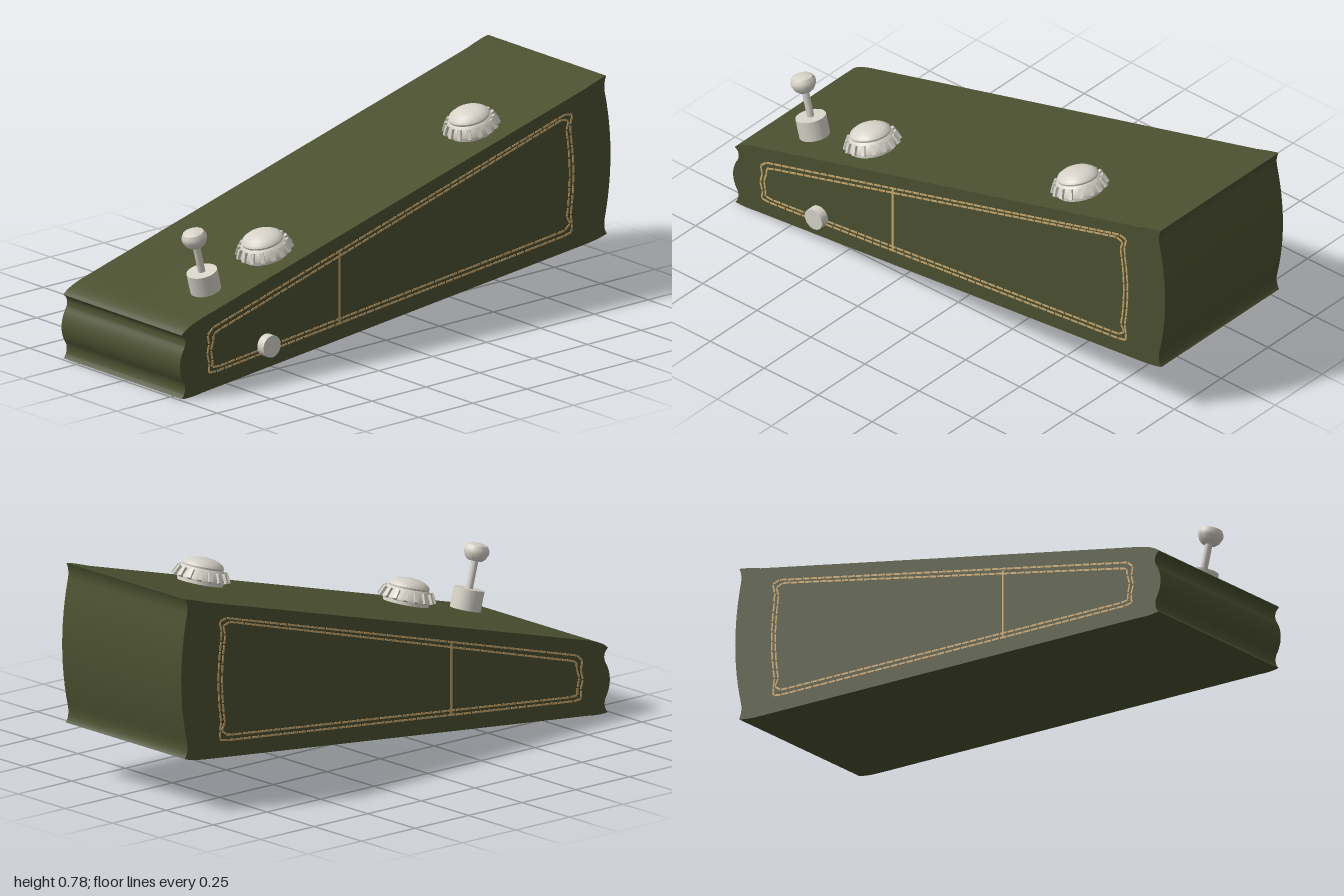
import * as THREE from 'three';
import { mergeGeometries, toCreasedNormals } from 'three/addons/utils/BufferGeometryUtils.js';

const mat = (name, color, side = THREE.FrontSide) => {
  const m = new THREE.MeshStandardMaterial({ color, side });
  m.name = name;
  return m;
};

const FRONT = 0.3, BACK = -0.33;
const SLOPE = 0.259;                        // tilt of the top face
const topY = x => 0.52 + 0.265 * x;

export function createModel() {
  const olive = mat('olive', 0x4b5030);
  const metal = mat('pale metal', 0xd6d2c8);
  const thread = mat('tan thread', 0xc8a66c);
  const model = new THREE.Group();

  const add = (parent, name, geometry, material, x = 0, y = 0, z = 0) => {
    const mesh = new THREE.Mesh(geometry, material);
    mesh.name = name;
    mesh.position.set(x, y, z);
    parent.add(mesh);
    return mesh;
  };
  const lathe = (pts, sides = 32) => toCreasedNormals(
    new THREE.LatheGeometry(pts.map(p => new THREE.Vector2(...p)), sides), 0.6);

  // Wedge body with lipped, bulging ends
  const s = new THREE.Shape();
  s.moveTo(-0.9, 0.008);
  s.lineTo(0.88, 0.183);
  s.quadraticCurveTo(0.95, 0.19, 0.983, 0.202);
  s.quadraticCurveTo(0.966, 0.225, 0.973, 0.26);
  s.quadraticCurveTo(1.027, 0.49, 0.973, 0.725);
  s.quadraticCurveTo(0.967, 0.755, 0.98, 0.782);
  s.quadraticCurveTo(0.95, 0.777, 0.88, topY(0.88));
  s.lineTo(-0.9, topY(-0.9));
  s.quadraticCurveTo(-0.97, 0.262, -0.992, 0.238);
  s.quadraticCurveTo(-0.965, 0.222, -0.978, 0.19);
  s.quadraticCurveTo(-1.022, 0.12, -0.978, 0.055);
  s.quadraticCurveTo(-0.97, 0.025, -0.99, 0.004);
  s.quadraticCurveTo(-0.95, 0, -0.9, 0.008);
  const body = new THREE.ExtrudeGeometry(s, { depth: FRONT - BACK, bevelEnabled: false, curveSegments: 12 });
  add(model, 'body', toCreasedNormals(body, 0.5), olive, 0, 0, BACK);

  // Stitched outline, inset by i from its outer line
  const stitchPath = i => {
    const p = new THREE.Path();
    p.moveTo(-0.83 + i, 0.074 + i);
    p.lineTo(0.79 - i, 0.235 + i);
    p.quadraticCurveTo(0.835 - i, 0.24 + i, 0.828 - i, 0.262 + i);
    p.quadraticCurveTo(0.808 - i, 0.28, 0.815 - i, 0.31);
    p.quadraticCurveTo(0.84 - i, 0.46, 0.813 - i, 0.61);
    p.quadraticCurveTo(0.808 - i, 0.635, 0.822 - i, 0.665 - i);
    p.quadraticCurveTo(0.825 - i, 0.69 - i, 0.78 - i, 0.677 - i);
    p.lineTo(-0.81 + i, 0.247 - i);
    p.quadraticCurveTo(-0.87 + i, 0.235 - i, -0.872 + i, 0.215 - i);
    p.quadraticCurveTo(-0.855 + i, 0.195, -0.868 + i, 0.17);
    p.quadraticCurveTo(-0.88 + i, 0.145, -0.866 + i, 0.12);
    p.quadraticCurveTo(-0.858 + i, 0.1, -0.87 + i, 0.085 + i);
    p.quadraticCurveTo(-0.873 + i, 0.068 + i, -0.83 + i, 0.074 + i);
    return p;
  };
  const dashes = [];
  for (const inset of [0, 0.017]) {
    const pts = stitchPath(inset).getSpacedPoints(110);
    for (let k = 0; k < 110; k++) {
      const a = pts[k], b = pts[k + 1];
      const dash = new THREE.BoxGeometry(a.distanceTo(b) * 0.86, 0.007, 0.004);
      dash.rotateZ(Math.atan2(b.y - a.y, b.x - a.x));
      dash.translate((a.x + b.x) / 2, (a.y + b.y) / 2, 0);
      dashes.push(dash);
    }
  }
  const stitches = mergeGeometries(dashes);
  const seam = new THREE.BoxGeometry(0.008, 0.255, 0.004);
  for (const [side, z] of [['front', FRONT], ['back', BACK]]) {
    add(model, side + 'Stitching', stitches, thread, 0, 0, z);
    add(model, side + 'Seam', seam, thread, -0.26, 0.262, z);
  }

  // Group standing square on the sloping top
  const onTop = (name, x, z) => {
    const g = new THREE.Group();
    g.name = name;
    g.position.set(x, topY(x), z);
    g.rotation.z = SLOPE;
    model.add(g);
    return g;
  };

  // Two ribbed knobs with domed caps
  const skirt = lathe([[0, -0.01], [0.082, -0.01], [0.082, 0.012], [0.094, 0.014], [0.094, 0.022],
    [0.077, 0.052], [0.072, 0.056], [0, 0.056]]);
  const cap = lathe([[0.072, 0.054], [0.074, 0.062], [0.07, 0.07], [0.055, 0.08],
    [0.035, 0.087], [0.015, 0.09], [0, 0.0905]]);
  const ribs = mergeGeometries(Array.from({ length: 16 }, (_, k) => {
    const rib = new THREE.BoxGeometry(0.016, 0.036, 0.014);
    rib.rotateZ(0.45);
    rib.translate(0.09, 0.032, 0);
    return rib.rotateY(k * Math.PI / 8);
  }));
  for (const [name, x] of [['lowerKnob', -0.475], ['upperKnob', 0.485]]) {
    const knob = onTop(name, x, 0.155);
    add(knob, 'knobSkirt', skirt, metal);
    add(knob, 'knobCap', cap, metal);
    add(knob, 'knobRibs', ribs, metal);
  }

  // Toggle lever: collar, rod and rounded tip
  const lever = onTop('lever', -0.75, 0.152);
  add(lever, 'leverCollar', new THREE.CylinderGeometry(0.055, 0.055, 0.085, 32), metal, 0, 0.032, 0);
  add(lever, 'leverRod', new THREE.CylinderGeometry(0.013, 0.013, 0.13, 20), metal, 0, 0.13, 0);
  add(lever, 'leverTip', lathe([[0, 0.175], [0.026, 0.175], [0.036, 0.184], [0.045, 0.203],
    [0.045, 0.216], [0.037, 0.23], [0.022, 0.236], [0, 0.237]]), metal);

  // Push button on the front
  const button = new THREE.CylinderGeometry(0.04, 0.04, 0.043, 32).rotateX(Math.PI / 2);
  add(model, 'frontButton', button, metal, -0.6, 0.124, 0.3115);

  return model;
}
